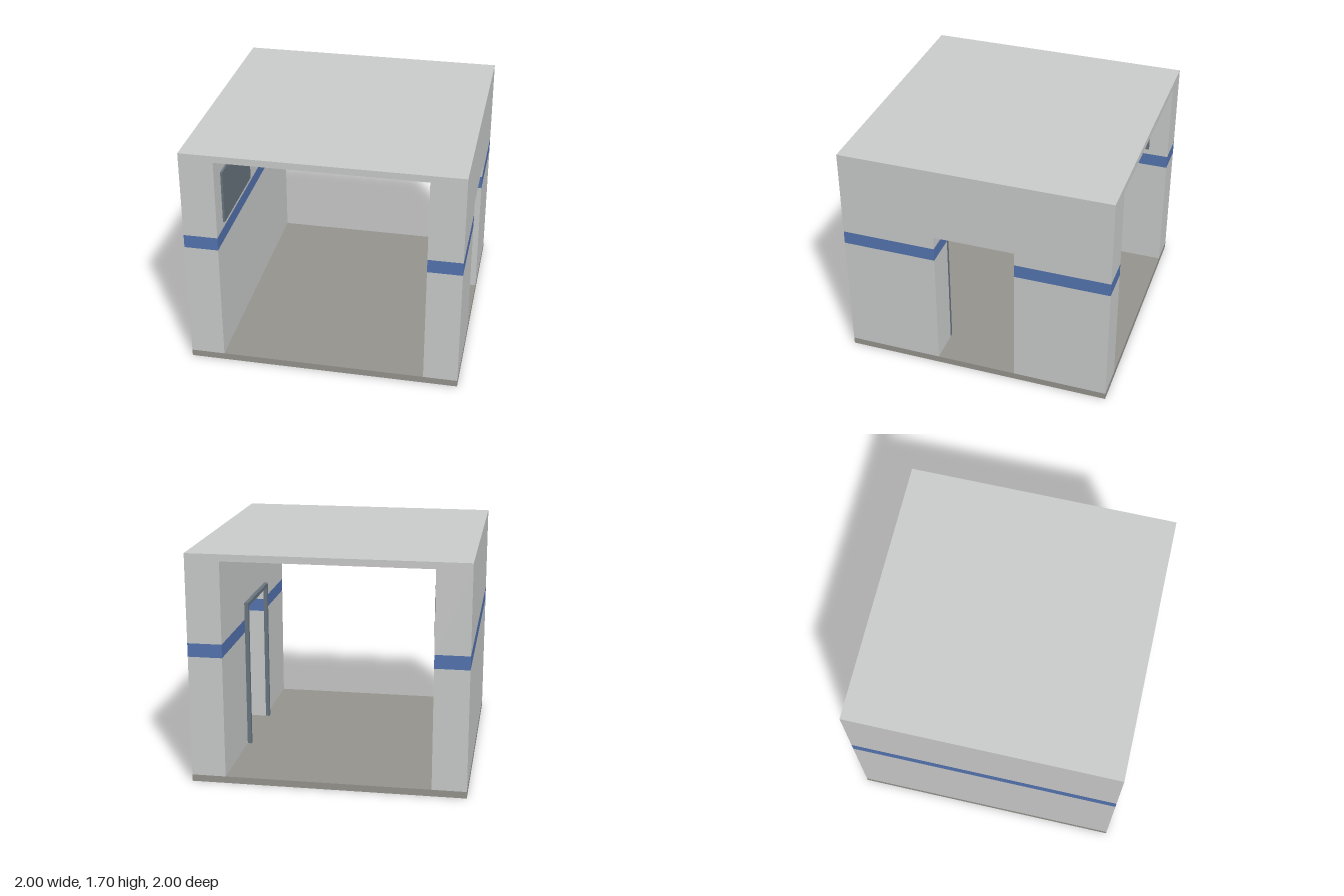
import * as THREE from 'three';

const material = (name, color) => {
  const m = new THREE.MeshStandardMaterial({ color });
  m.name = name;
  return m;
};

export function createModel() {
  const model = new THREE.Group();
  model.name = 'corridorSection';

  const wallGrey = material('wallGrey', 0xcccecd);
  const floorGrey = material('floorGrey', 0x96958f);
  const stripeBlue = material('stripeBlue', 0x5575b2);
  const slateGrey = material('slateGrey', 0x6a7680);

  // Box given by its limits on each axis
  const slab = (name, mat, [x0, x1], [y0, y1], [z0, z1], parent = model) => {
    const mesh = new THREE.Mesh(new THREE.BoxGeometry(x1 - x0, y1 - y0, z1 - z0), mat);
    mesh.position.set((x0 + x1) / 2, (y0 + y1) / 2, (z0 + z1) / 2);
    mesh.name = name;
    parent.add(mesh);
  };

  // Floor, ceiling and the shallow ceiling panel
  slab('floor', floorGrey, [-1, 1], [0, 0.05], [-1, 1]);
  slab('ceiling', wallGrey, [-1, 1], [1.65, 1.7], [-1, 1]);
  slab('ceilingPanel', wallGrey, [-0.2, 0.2], [1.64, 1.65], [-0.3, 0.3]);

  // A thick wall run with the blue band right through it
  const wallRun = (name, xs, zs, top) => {
    const run = new THREE.Group();
    run.name = name;
    slab('lowerWall', wallGrey, xs, [0.05, 0.95], zs, run);
    slab('blueBand', stripeBlue, xs, [0.95, 1.05], zs, run);
    slab('upperWall', wallGrey, xs, [1.05, top], zs, run);
    model.add(run);
  };

  // Solid right wall; left wall split by a doorway
  wallRun('rightWall', [-1, -0.75], [-1, 1], 1.65);
  wallRun('leftWallBack', [0.75, 1], [-1, -0.3], 1.15);
  wallRun('leftWallFront', [0.75, 1], [0.3, 1], 1.15);
  slab('doorLintel', wallGrey, [0.75, 1], [1.15, 1.65], [-1, 1]);

  // Door frame on the inner face of the left wall
  const frame = new THREE.Group();
  frame.name = 'doorFrame';
  slab('backPost', slateGrey, [0.72, 0.75], [0.05, 1.15], [-0.33, -0.3], frame);
  slab('frontPost', slateGrey, [0.72, 0.75], [0.05, 1.15], [0.3, 0.33], frame);
  slab('header', slateGrey, [0.72, 0.75], [1.15, 1.18], [-0.33, 0.33], frame);
  model.add(frame);

  // Two wall screens facing the doorway
  for (const z of [-0.5, 0.5]) {
    slab('wallScreen', slateGrey, [-0.75, -0.735], [1.1, 1.5], [z - 0.35, z + 0.35]);
  }

  return model;
}
